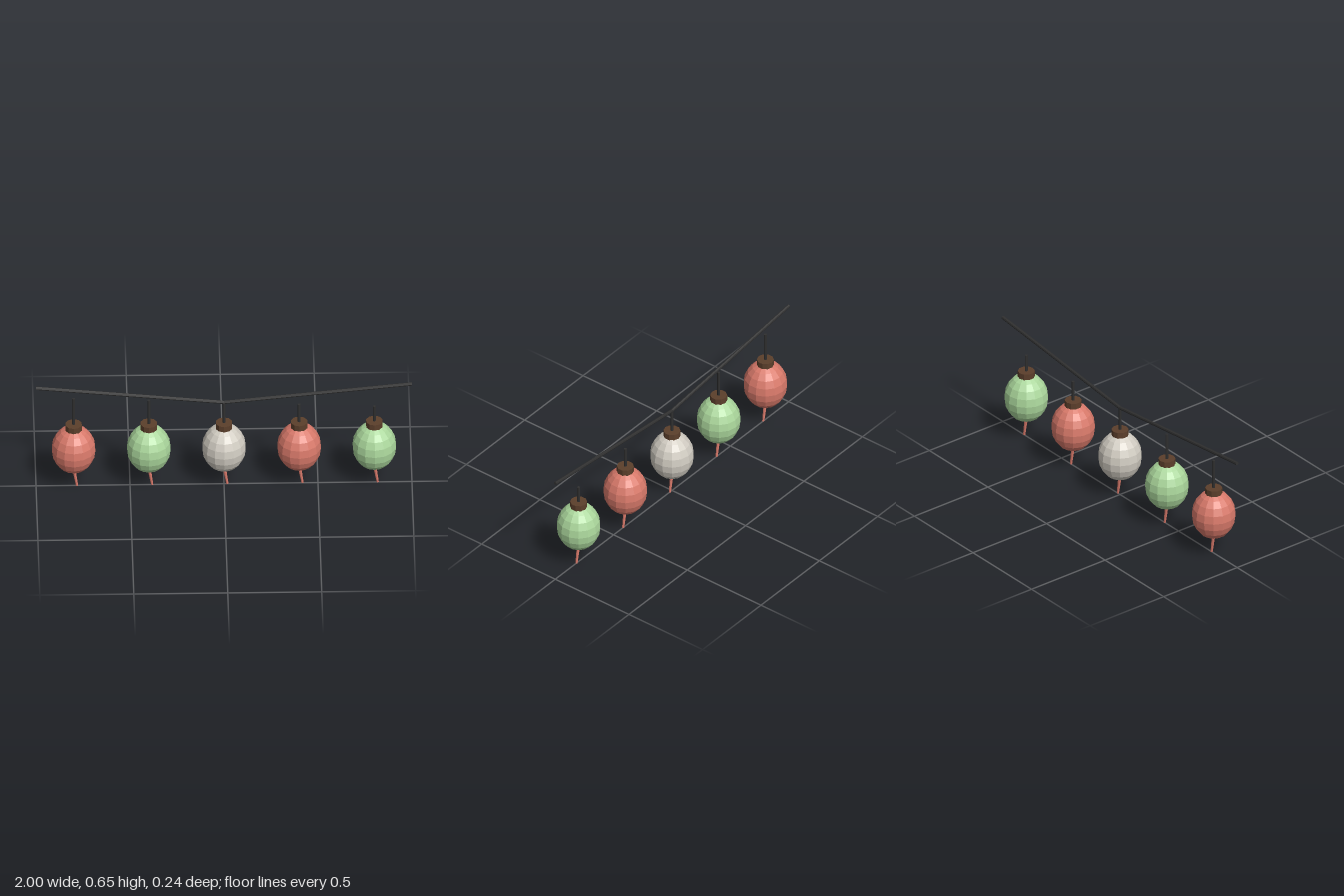
import * as THREE from 'three';

function material(name, color) {
  const m = new THREE.MeshStandardMaterial({ color, flatShading: true });
  m.name = name;
  return m;
}

// Tapered rod between two points
function rod(name, from, to, rFrom, rTo, sides, mat) {
  const a = new THREE.Vector3(...from), b = new THREE.Vector3(...to);
  const dir = b.clone().sub(a);
  const mesh = new THREE.Mesh(new THREE.CylinderGeometry(rTo, rFrom, dir.length(), sides), mat);
  mesh.position.copy(a).add(b).multiplyScalar(0.5);
  mesh.quaternion.setFromUnitVectors(new THREE.Vector3(0, 1, 0), dir.normalize());
  mesh.name = name;
  return mesh;
}

export function createModel() {
  const red = material('coral red', 0xd8796a);
  const green = material('pale green', 0xaad69b);
  const white = material('warm white', 0xd0cbc1);
  const brown = material('cap brown', 0x5c3f2b);
  const black = material('cord black', 0x2f2f2f);

  const model = new THREE.Group();
  model.name = 'lanternString';

  // Sagging cord in two straight spans
  for (const side of [-1, 1]) {
    model.add(rod(side < 0 ? 'rightCord' : 'leftCord',
      [side, 0.638, 0], [0, 0.532, 0], 0.0095, 0.0095, 8, black));
  }

  // Lantern paper body, shared by all lanterns
  const bodyGeometry = new THREE.SphereGeometry(0.118, 14, 10);
  bodyGeometry.rotateY(Math.PI / 2);
  bodyGeometry.scale(1, 1.178, 1);

  const lanterns = [
    [-0.8, red, 0.567], [-0.4, green, 0.55], [0, white, 0.532],
    [0.4, red, 0.514], [0.8, green, 0.496],
  ];
  for (const [x, colour, stemTop] of lanterns) {
    const lantern = new THREE.Group();
    lantern.name = 'lantern';
    lantern.position.x = x;

    const body = new THREE.Mesh(bodyGeometry, colour);
    body.name = 'lanternBody';
    body.position.y = 0.24;

    lantern.add(
      body,
      rod('cap', [0, 0.365, 0], [0, 0.401, 0], 0.0455, 0.0455, 10, brown),
      rod('hangingStem', [0, 0.39, 0], [0, stemTop, 0], 0.008, 0.008, 8, black),
      rod('tassel', [0, 0.115, 0], [0.018, 0.001, 0], 0.0095, 0.006, 8, red),
    );
    model.add(lantern);
  }
  return model;
}
